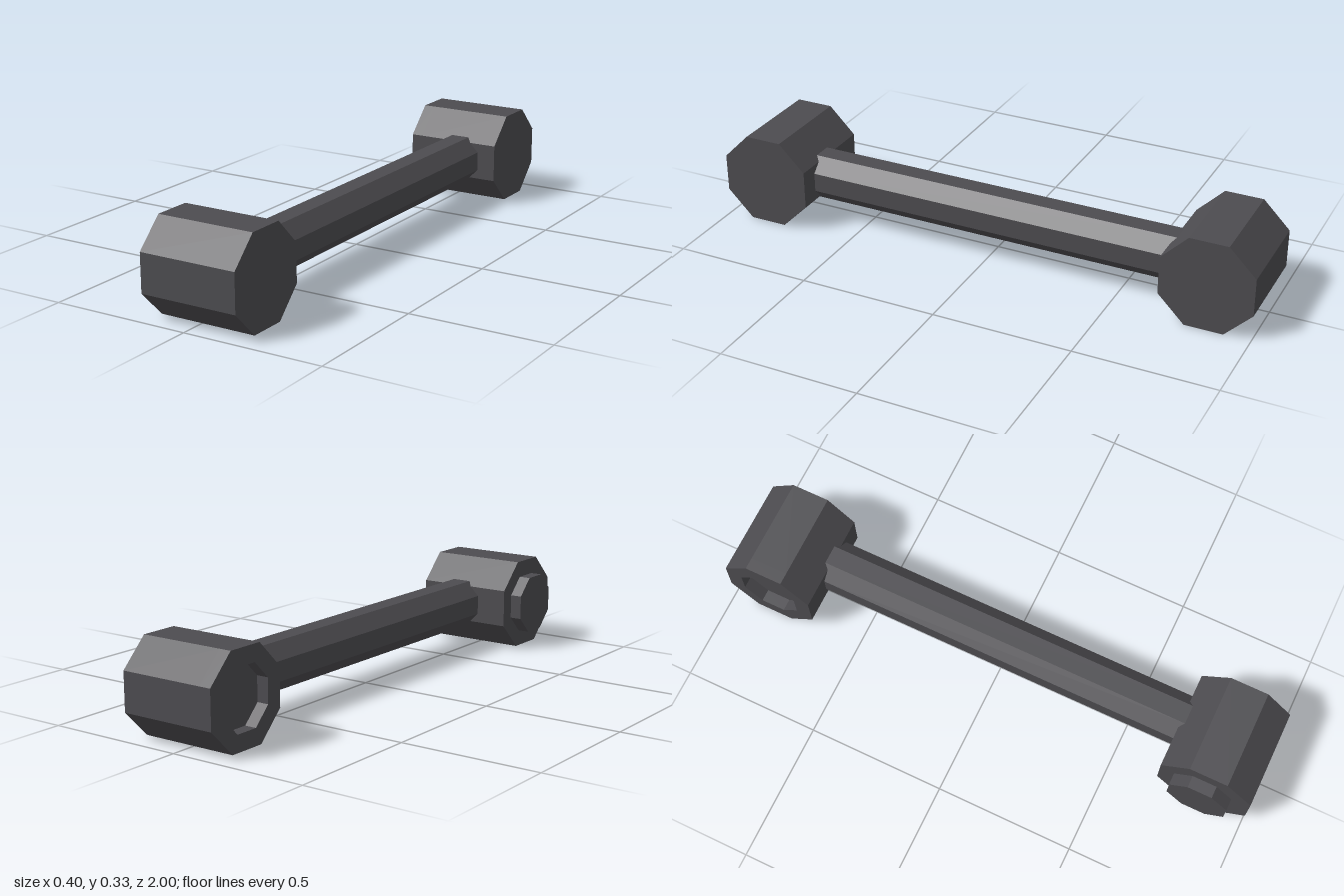
import * as THREE from 'three';

const CENTRE_Y = 0.165, END_Z = 0.8375;
const X_IN = 0.197, X_OUT = -0.157, STEP = 0.043;

// Octagon with flat sides facing the axes; width is measured flat to flat
function octagon(width, Path = THREE.Shape) {
  const radius = width / 2 / Math.cos(Math.PI / 8);
  const points = [];
  for (let i = 0; i < 8; i++) {
    const a = (i + 0.5) * Math.PI / 4;
    points.push(new THREE.Vector2(radius * Math.cos(a), radius * Math.sin(a)));
  }
  return new Path(points);
}

export function createModel() {
  const group = new THREE.Group();
  const darkMetal = new THREE.MeshStandardMaterial({ color: 0x4d4c50, flatShading: true });
  darkMetal.name = 'darkMetal';

  const prism = (shape, length) =>
    new THREE.ExtrudeGeometry(shape, { depth: length, bevelEnabled: false });

  function add(name, geometry, x, z) {
    const mesh = new THREE.Mesh(geometry, darkMetal);
    mesh.name = name;
    mesh.position.set(x, CENTRE_Y, z);
    group.add(mesh);
  }

  // Prism running across from xStart towards -x
  function crossPrism(name, shape, xStart, xEnd, z) {
    add(name, prism(shape, xStart - xEnd).rotateY(-Math.PI / 2), xStart, z);
  }

  // Connecting shaft, its ends sunk slightly into the rollers
  add('shaft', prism(octagon(0.168), 1.38), 0.043, -0.69);

  // Front roller with a raised pin
  crossPrism('frontRoller', octagon(0.328), X_IN, X_OUT, END_Z);
  crossPrism('frontPin', octagon(0.21), X_OUT + 0.01, X_OUT - STEP, 0.83);

  // Back roller: solid body plus a rim around a shallow socket
  crossPrism('backRoller', octagon(0.328), X_IN, X_OUT + STEP, -END_Z);
  const rim = octagon(0.328);
  rim.holes.push(octagon(0.21, THREE.Path));
  crossPrism('backSocketRim', rim, X_OUT + STEP, X_OUT, -END_Z);

  return group;
}
